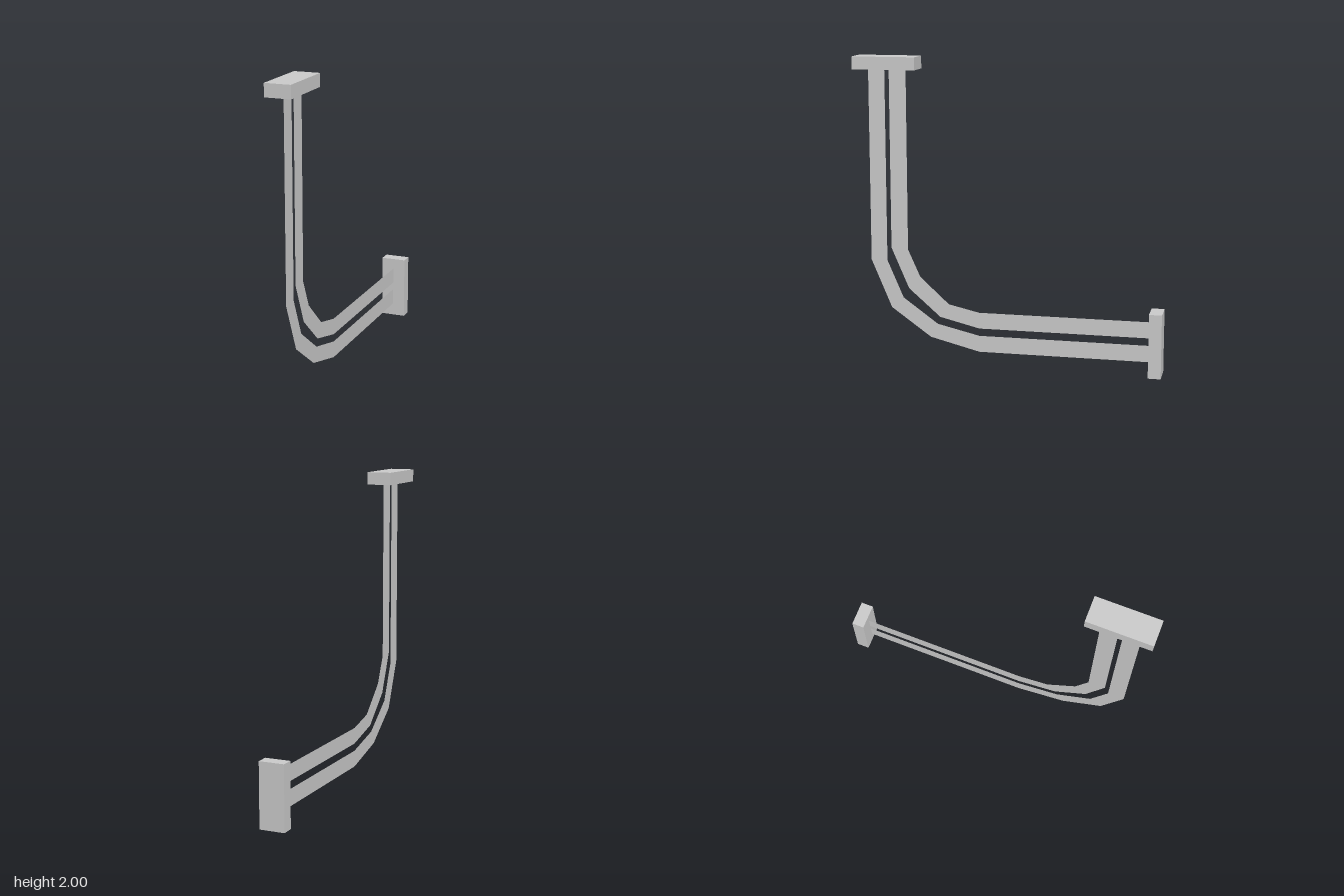
import * as THREE from 'three';

export function createModel() {
  const model = new THREE.Group();
  const solid = new THREE.MeshStandardMaterial({ color: 0xcccccc, flatShading: true });
  const thin = new THREE.MeshStandardMaterial({ color: 0xcccccc, side: THREE.DoubleSide });

  const topY = 1.918, backZ = -0.918; // inner faces of the two end plates

  // End plates
  const addPlate = (name, height, depth, y, z) => {
    const plate = new THREE.Mesh(new THREE.BoxGeometry(0.165, height, depth), solid);
    plate.name = name;
    plate.position.set(0, y, z);
    model.add(plate);
  };
  addPlate('topPlate', 0.082, 0.412, 1.959, 0.794);
  addPlate('backPlate', 0.416, 0.082, 0.208, -0.959);

  // Flat bent strips in the x = 0 plane; each bend is listed as [z, y]
  const addStrip = (name, outer, inner) => {
    const edge = (bend) => [[bend[0][0], topY], ...bend, [backZ, bend.at(-1)[1]]];
    const points = [...edge(outer), ...edge(inner).reverse()];
    const shape = new THREE.Shape(points.map(([z, y]) => new THREE.Vector2(z, y)));
    const strip = new THREE.Mesh(new THREE.ShapeGeometry(shape).rotateY(-Math.PI / 2), thin);
    strip.name = name;
    model.add(strip);
  };
  addStrip('outerStrip',
    [[0.918, 0.668], [0.783, 0.352], [0.52, 0.165], [0.194, 0.083]],
    [[0.81, 0.668], [0.703, 0.422], [0.472, 0.256], [0.194, 0.191]]);
  addStrip('innerStrip',
    [[0.781, 0.753], [0.665, 0.486], [0.456, 0.304], [0.194, 0.24]],
    [[0.669, 0.745], [0.588, 0.566], [0.397, 0.392], [0.194, 0.346]]);

  return model;
}
